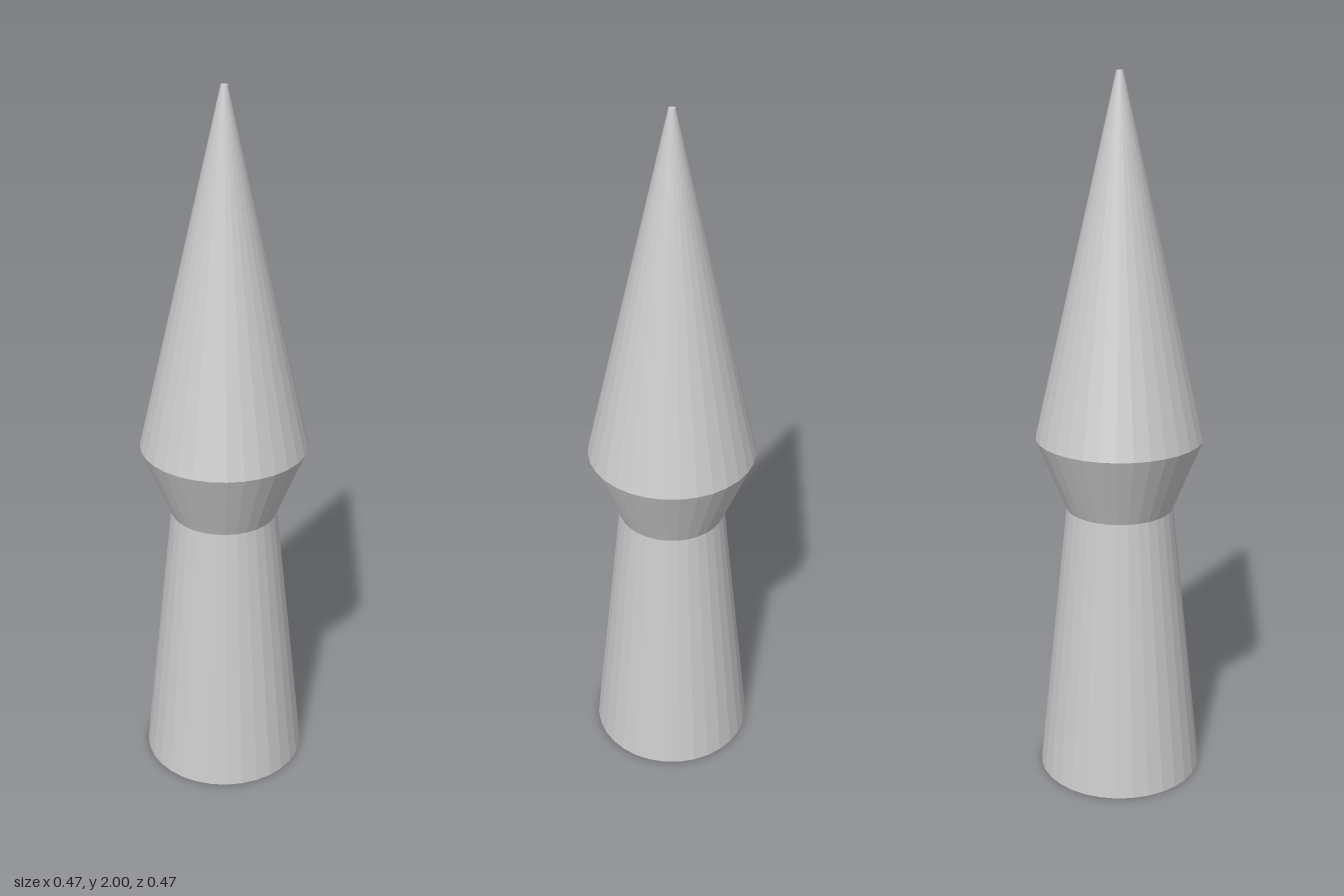
import * as THREE from 'three';

const SIDES = 32;

export function createModel() {
  const model = new THREE.Group();
  model.name = 'spire';
  const material = new THREE.MeshStandardMaterial({ color: 0xcccccc, flatShading: true });

  // Stacked tapered sections; only the outer ends are capped
  const addSection = (name, bottomY, topY, bottomRadius, topRadius, capY) => {
    const height = topY - bottomY;
    const geometry = new THREE.CylinderGeometry(topRadius, bottomRadius, height, SIDES, 1, true);
    const section = new THREE.Group();
    section.name = name;
    const wall = new THREE.Mesh(geometry, material);
    wall.name = name + 'Wall';
    wall.position.y = bottomY + height / 2;
    section.add(wall);
    if (capY !== undefined) {
      const atTop = capY === topY;
      const cap = new THREE.Mesh(new THREE.CircleGeometry(atTop ? topRadius : bottomRadius, SIDES), material);
      cap.name = name + 'Cap';
      cap.rotation.x = atTop ? -Math.PI / 2 : Math.PI / 2;
      cap.position.y = capY;
      section.add(cap);
    }
    model.add(section);
  };

  addSection('shaft', 0, 0.805, 0.235, 0.151, 0);
  addSection('collar', 0.805, 1.012, 0.151, 0.235);
  addSection('point', 1.012, 2, 0.235, 0.009, 2);

  return model;
}
